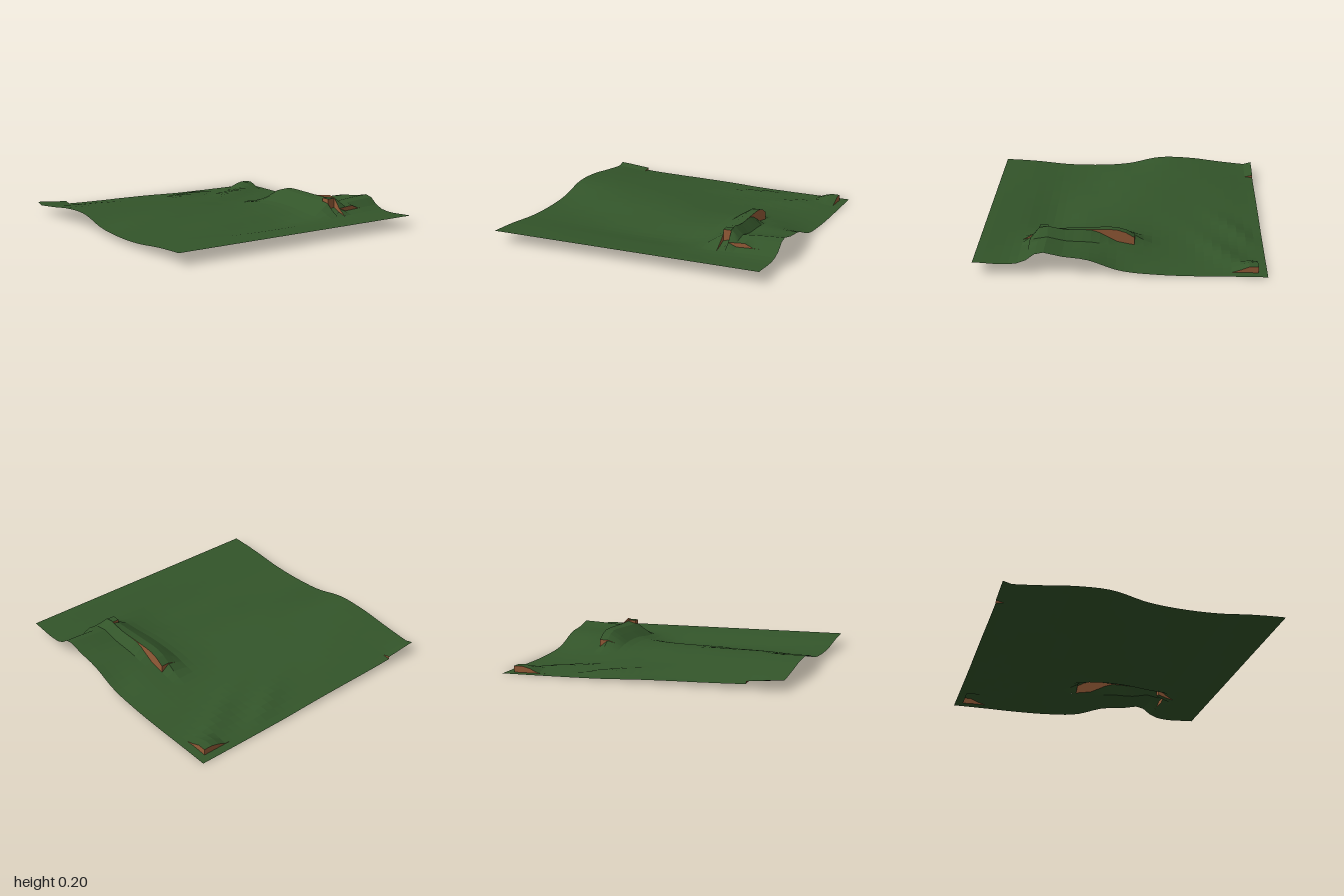
import * as THREE from 'three';

const N = 33; // tiles per side
const coord = i => -1 + (2 * i) / N;
const step = THREE.MathUtils.smoothstep;
const bell = (d, w) => Math.exp(-(d * d) / (w * w));

// Broad hills: heights in thousandths, rows from back to front, columns from x = -1 to 1
const HILLS = [
  [62, 40, 32, 28, 22, 12, 8, 6, 5],
  [85, 75, 65, 52, 40, 30, 18, 15, 6],
  [115, 105, 90, 72, 55, 40, 20, 10, 5],
  [118, 112, 102, 92, 75, 55, 45, 30, 12],
  [62, 80, 90, 88, 82, 75, 85, 75, 38],
  [44, 42, 45, 55, 60, 70, 95, 115, 120],
  [48, 42, 35, 28, 24, 30, 75, 105, 120],
  [72, 70, 66, 62, 60, 60, 65, 72, 75],
  [85, 85, 85, 85, 85, 85, 85, 85, 85],
];

// Smooth curve through evenly spaced values, p running from -1 to 1
function spline(values, p) {
  const t = (p + 1) * 4;
  const i = Math.min(7, Math.floor(t));
  const f = t - i;
  const v = k => values[Math.max(0, Math.min(8, k))];
  const [a, b, c, d] = [v(i - 1), v(i), v(i + 1), v(i + 2)];
  return b + 0.5 * f * (c - a + f * (2 * a - 5 * b + 4 * c - d + f * (3 * (b - c) + d - a)));
}

// Height of a tile corner (x, z); the tile centre (cx, cz) picks the side of a cliff
function height(x, z, cx, cz) {
  let y = spline(HILLS.map(row => spline(row, x)), z) / 1000;

  // Long bank beside the low field, with a cliff on its +x side
  let bank = step(x, 0.42, 0.6) * (0.07 + 0.02 * bell(z - 0.03, 0.14));
  bank *= step(z, -0.27, 0.02) * (1 - step(z, 0.56, 0.7));
  if (cz < -0.091) bank *= 1 - step(x, 0.56, 0.637);
  if (cx > 0.636) bank *= (1 - step(x, 0.63, 0.7)) * step(z, 0, 0.24);
  const onPost = cx > 0.576 && cx < 0.636;
  if (onPost && cz > 0.576) bank *= 0.25;
  y += bank;

  // Front bank running to the +x edge, with a short cliff near its end
  const front = step(x, 0.48, 0.68) * bell(z - 0.55, z > 0.55 ? 0.07 : 0.12);
  if (cx > 0.636) y += 0.05 * front;
  else y += 0.02 * front;
  if (cz < 0.636 && z > 0.6 && x > 0.636 && x < 0.82) {
    y += 0.035 * Math.sin((Math.PI * (x - 0.636)) / 0.184);
  }
  // Raised block where the banks meet
  if (onPost && cz > 0.515 && cz < 0.576) y = 0.185;

  // Two diagonal ribs at the back
  const u = 0.5 * x + 0.86 * z;
  const v = 0.86 * x - 0.5 * z;
  const inland = 1 - step(x, 0.88, 1);
  y += 0.02 * bell(u + 0.56, 0.07) * bell(v - 0.68, 0.28) * inland * step(z, -1, -0.85);
  y += 0.022 * bell(u + 0.28, 0.08) * bell(v - 0.9, 0.32) * inland * step(z, -1, -0.85);

  // Back corner mound, cut off on two sides
  if (cx < 0.939 && cz > -0.939) {
    y += 0.045 * step(x, 0.74, 0.87) * (1 - step(z, -0.9, -0.76));
  }
  // Small step on the back edge
  if (cx < -0.757 && cz < -0.939) y += 0.02 * step(-z, 0.939, 0.98);
  return Math.max(0, y);
}

// Collects separate quads into one geometry
function quadGeometry(quads) {
  const geometry = new THREE.BufferGeometry();
  geometry.setAttribute('position', new THREE.Float32BufferAttribute(quads.flat(2), 3));
  geometry.setIndex(quads.flatMap((_, i) => [0, 1, 2, 0, 2, 3].map(k => 4 * i + k)));
  geometry.computeVertexNormals();
  return geometry;
}

export function createModel() {
  const grass = new THREE.MeshStandardMaterial({ color: 0x33552a, side: THREE.DoubleSide });
  grass.name = 'grass green';
  const earth = new THREE.MeshStandardMaterial({ color: 0x965c38, side: THREE.DoubleSide });
  earth.name = 'earth brown';

  // Corner of tile (i, j), offset by a and b
  const corner = (i, j, a, b) => {
    const x = coord(i + a);
    const z = coord(j + b);
    return [x, height(x, z, coord(i + 0.5), coord(j + 0.5)), z];
  };
  const tiles = [];
  const walls = [];
  const addWall = (a, b, c, d) => {
    if (Math.abs(a[1] - d[1]) + Math.abs(b[1] - c[1]) > 0.0005) walls.push([a, b, c, d]);
  };

  for (let j = 0; j < N; j++) {
    for (let i = 0; i < N; i++) {
      tiles.push([corner(i, j, 0, 0), corner(i, j, 0, 1), corner(i, j, 1, 1), corner(i, j, 1, 0)]);
      // Upright earth faces where neighbouring tiles do not meet
      if (i < N - 1) {
        addWall(corner(i, j, 1, 1), corner(i, j, 1, 0), corner(i + 1, j, 0, 0), corner(i + 1, j, 0, 1));
      }
      if (j < N - 1) {
        addWall(corner(i, j, 0, 1), corner(i, j, 1, 1), corner(i, j + 1, 1, 0), corner(i, j + 1, 0, 0));
      }
    }
  }

  const group = new THREE.Group();
  group.name = 'terrain';
  const ground = new THREE.Mesh(quadGeometry(tiles), grass);
  ground.name = 'ground';
  const cliffs = new THREE.Mesh(quadGeometry(walls), earth);
  cliffs.name = 'cliffs';
  group.add(ground, cliffs);
  return group;
}
